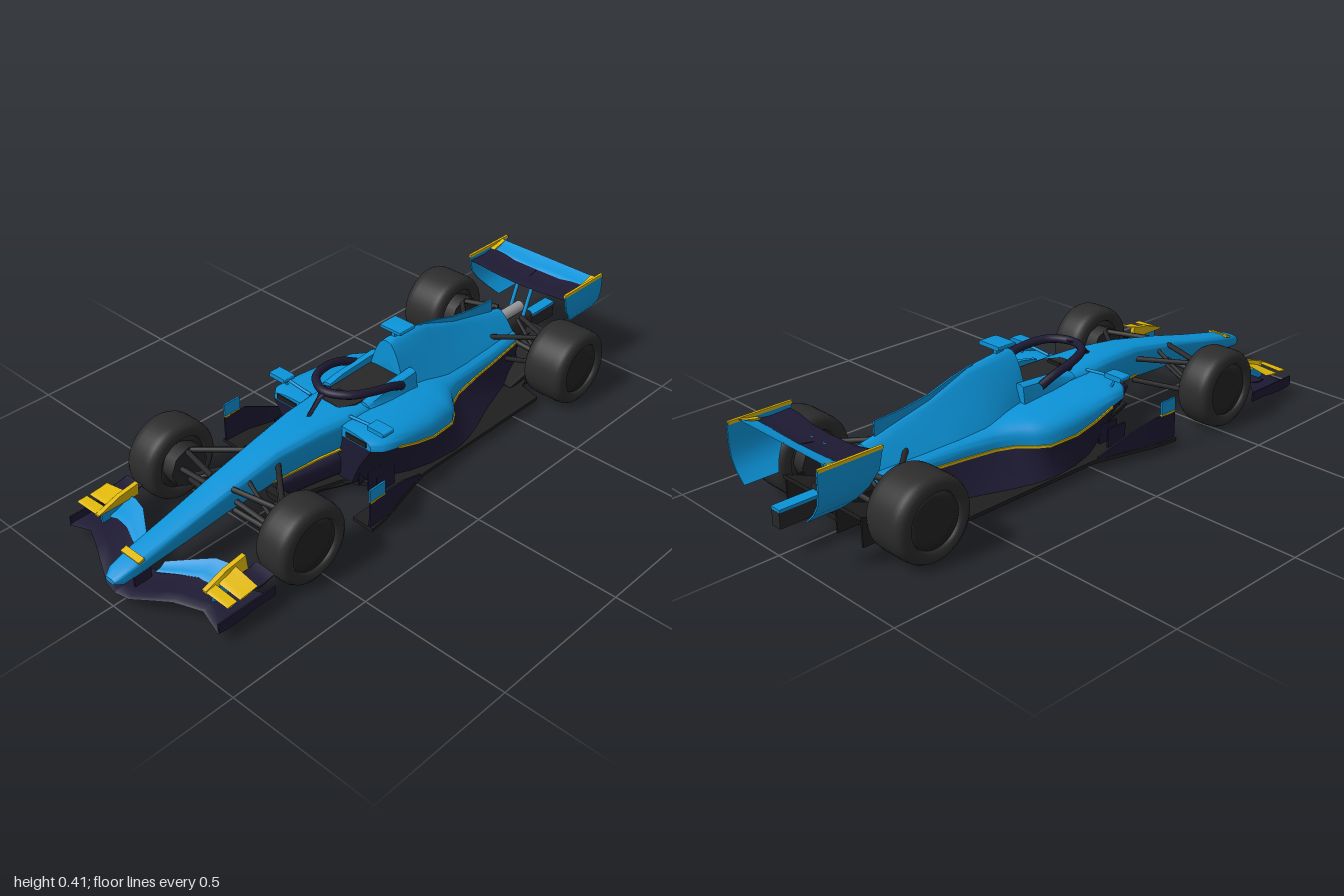
import * as THREE from 'three';
import { toCreasedNormals } from 'three/addons/utils/BufferGeometryUtils.js';

const mat = (name, color) => Object.assign(new THREE.MeshStandardMaterial({ color }), { name });

// Skin closed cross-sections, with flat end caps
function loft(rows) {
  const n = rows[0].length, last = rows.length - 1, pos = rows.flat(2), idx = [];
  for (let j = 0; j < last; j++) for (let i = 0; i < n; i++) {
    const k = (i + 1) % n, a = j * n + i, b = a + n, c = j * n + k, d = c + n;
    idx.push(a, b, c, c, b, d);
  }
  for (const [j, flip] of [[0, false], [last, true]]) {
    const c = pos.length / 3;
    for (let q = 0; q < 3; q++) pos.push(rows[j].reduce((s, p) => s + p[q], 0) / n);
    for (let i = 0; i < n; i++) {
      const a = j * n + i, b = j * n + (i + 1) % n;
      if (flip) idx.push(c, b, a); else idx.push(c, a, b);
    }
  }
  const g = new THREE.BufferGeometry();
  g.setAttribute('position', new THREE.Float32BufferAttribute(pos, 3));
  g.setIndex(idx);
  return toCreasedNormals(g, 0.7);
}
const flipX = rows => rows.map(r => r.map(([x, y, z]) => [-x, y, z]).reverse());
const pow = (v, n) => Math.sign(v) * Math.abs(v) ** (2 / n);

// Full rounded section: z, bottom, top, half widths at bottom and top, squareness
function ring([z, y0, y1, wb, wt, n = 4]) {
  return Array.from({ length: 32 }, (_, i) => {
    const a = i / 32 * Math.PI * 2, f = (pow(Math.sin(a), n) + 1) / 2;
    return [pow(Math.cos(a), n) * (wb + (wt - wb) * f), y0 + (y1 - y0) * f, z];
  });
}
// Domed section with a flat underside
function dome([z, y0, y1, wb, wt, n]) {
  return Array.from({ length: 25 }, (_, i) => {
    const a = i / 24 * Math.PI, f = pow(Math.sin(a), n);
    return [pow(Math.cos(a), n) * (wb + (wt - wb) * f), y0 + (y1 - y0) * f, z];
  });
}
// Upright rectangle across the body, from x0 to x1 and y0 to y1
const slab = (x0, x1, y0, y1, z) => [[x0, y0, z], [x1, y0, z], [x1, y1, z], [x0, y1, z]];
// Aerofoil section: x, leading z and y, trailing z and y; negative camber sags
function foil([x, z0, y0, z1, y1], t, camber) {
  const at = (s, side) => [x, y0 + (y1 - y0) * s + camber * Math.sin(Math.PI * s)
    + side * t * Math.sin(Math.PI * Math.sqrt(s)), z0 + (z1 - z0) * s];
  return [...[0, 0.08, 0.3, 0.6, 0.85, 1].map(s => at(s, 1)), ...[0.85, 0.6, 0.3, 0.08].map(s => at(s, -1))];
}

export function createModel() {
  const car = new THREE.Group();
  car.name = 'racingCar';
  const blue = mat('skyBlue', 0x0b93d8), navy = mat('navy', 0x1d1a33), yellow = mat('yellow', 0xe0b808);
  const tyre = mat('tyreRubber', 0x2c2c2c), rim = mat('rimGrey', 0x232325), carbon = mat('carbon', 0x272729);
  const black = mat('floorBlack', 0x1f1f1f), steel = mat('steel', 0x9a9a9c);

  const add = (name, geo, m, x = 0, y = 0, z = 0) => {
    const mesh = new THREE.Mesh(geo, m);
    mesh.name = name;
    mesh.position.set(x, y, z);
    car.add(mesh);
    return mesh;
  };
  const pair = (name, rows, m) => { add(name + 'Left', loft(rows), m); add(name + 'Right', loft(flipX(rows)), m); };
  const wing = (name, m, stations, t = 0.004, camber = -0.006) => pair(name, stations.map(s => foil(s, t, camber)), m);
  const box = (name, m, w, h, d, x, y, z) => add(name, new THREE.BoxGeometry(w, h, d), m, x, y, z);
  const boxes = (name, m, w, h, d, x, y, z) => { for (const s of [1, -1]) box(name, m, w, h, d, s * x, y, z); };
  const rod = (name, m, a, b, r) => {
    for (const s of [1, -1]) {
      const p = new THREE.Vector3(s * a[0], a[1], a[2]), q = new THREE.Vector3(s * b[0], b[1], b[2]);
      const d = q.clone().sub(p);
      const mesh = add(name, new THREE.CylinderGeometry(r, r, d.length(), 8), m);
      mesh.position.copy(p).add(q).multiplyScalar(0.5);
      mesh.quaternion.setFromUnitVectors(new THREE.Vector3(0, 1, 0), d.normalize());
    }
  };

  // Nose and cockpit tub
  add('noseAndTub', loft([
    [1.0, 0.088, 0.105, 0.02, 0.02, 3], [0.975, 0.08, 0.121, 0.033, 0.033], [0.9, 0.085, 0.141, 0.035, 0.041],
    [0.75, 0.095, 0.172, 0.037, 0.048], [0.6, 0.11, 0.207, 0.04, 0.054], [0.4, 0.12, 0.247, 0.048, 0.064],
    [0.25, 0.13, 0.259, 0.068, 0.085], [0.12, 0.13, 0.258, 0.095, 0.1], [-0.16, 0.13, 0.255, 0.11, 0.1],
  ].map(ring)), blue);
  box('noseStripe', yellow, 0.08, 0.008, 0.022, 0, 0.136, 0.915).rotation.x = 0.25;

  // Cockpit opening, headrest sides and steering wheel
  add('cockpitOpening', loft([[0.13, 0.25, 0.26, 0.035, 0.035], [0.08, 0.25, 0.262, 0.062, 0.062],
    [-0.13, 0.25, 0.262, 0.07, 0.07]].map(ring)), carbon);
  pair('headrestSide', [[0.06, 0.25, 0.262], [0, 0.24, 0.274], [-0.16, 0.22, 0.285]].map(([z, y0, y1]) =>
    [[0.066, y0, z], [0.104, y0, z], [0.096, y1 - 0.006, z], [0.084, y1, z], [0.068, y1, z]]), blue);
  box('steeringWheel', black, 0.05, 0.014, 0.01, 0, 0.264, 0.07);

  // Engine cover, fin and camera
  add('engineCover', loft([
    [-0.125, 0.21, 0.368, 0.078, 0.046, 2.6], [-0.15, 0.17, 0.374, 0.1, 0.045, 2.5], [-0.3, 0.14, 0.357, 0.135, 0.03, 2.2],
    [-0.45, 0.14, 0.3, 0.122, 0.028, 2], [-0.6, 0.14, 0.263, 0.1, 0.035, 2.1], [-0.7, 0.14, 0.238, 0.085, 0.04, 2.2],
  ].map(dome)), blue);
  pair('engineFin', [[-0.28, 0.362], [-0.36, 0.345], [-0.45, 0.317], [-0.55, 0.302], [-0.655, 0.295]].map(([z, y]) =>
    slab(0, 0.003, 0.22, y, z)), blue);
  box('cameraStem', blue, 0.012, 0.035, 0.03, 0, 0.38, -0.17);
  add('cameraBar', loft([[-0.14, 0.396, 0.406, 0.042, 0.042, 9], [-0.15, 0.394, 0.408, 0.043, 0.043, 9],
    [-0.21, 0.394, 0.408, 0.043, 0.043, 9]].map(ring)), blue);

  // Sidepods over an undercut lower body, parted by a line that climbs to the inlet
  const pods = [ // z, parting height, top, half width, floor half width
    [0.17, 0.2, 0.236, 0.21, 0.13], [0.14, 0.197, 0.24, 0.236, 0.145], [0.08, 0.187, 0.24, 0.243, 0.18],
    [0, 0.163, 0.238, 0.246, 0.22], [-0.08, 0.145, 0.234, 0.246, 0.243], [-0.18, 0.14, 0.225, 0.236, 0.253],
    [-0.22, 0.14, 0.22, 0.21, 0.25], [-0.26, 0.14, 0.213, 0.168, 0.243], [-0.32, 0.14, 0.205, 0.142, 0.225],
    [-0.42, 0.14, 0.196, 0.124, 0.185], [-0.54, 0.142, 0.188, 0.11, 0.145], [-0.7, 0.145, 0.18, 0.088, 0.1]];
  add('sidepods', loft(pods.map(([z, y0, y1, w]) => dome([z, y0, y1, w, w, 3.5]))), blue);
  add('lowerBody', loft(pods.map(([z, y, , w, b]) => {
    const m = w * 0.5 + b * 0.5 - 0.008, h = (y + 0.04) / 2;
    return [[w, y, z], [-w, y, z], [-m, h, z], [-b, 0.04, z], [b, 0.04, z], [m, h, z]];
  })), navy);
  pair('bodyLine', pods.slice(2).map(([z, y, , w]) => slab(w - 0.01, w + 0.004, y - 0.004, y + 0.004, z)), yellow);
  boxes('sidepodInlet', black, 0.085, 0.018, 0.006, 0.15, 0.215, 0.171);
  add('lowerTub', loft([[0.39, 0.085, 0.105, 0.03, 0.03], [0.34, 0.04, 0.122, 0.045, 0.05],
    [0.1, 0.035, 0.135, 0.1, 0.1]].map(ring)), navy);
  pair('tubLine', [[0.42, 0.138, 0.0485], [0.25, 0.142, 0.07], [0.15, 0.145, 0.091]].map(([z, y, w]) =>
    slab(w - 0.03, w, y - 0.003, y + 0.003, z)), yellow);

  // Floor with flared front tongues, plank and edge fences
  const half = [[0.035, 0.38], [0.06, 0.3], [0.1, 0.18], [0.2, 0.12], [0.245, 0.15], [0.25, 0.29], [0.33, 0.29],
    [0.322, 0.22], [0.275, 0.04], [0.26, -0.02], [0.26, -0.6], [0.18, -0.62], [0.16, -0.68]];
  const outline = [...half, ...half.map(([x, z]) => [-x, z]).reverse()].map(([x, z]) => new THREE.Vector2(x, -z));
  const floor = new THREE.ExtrudeGeometry(new THREE.Shape(outline), { depth: 0.012, bevelEnabled: false });
  add('floor', floor.rotateX(-Math.PI / 2), black, 0, 0.03, 0);
  add('plank', loft([[0.38, 0.02, 0.032, 0.03, 0.03], [0.3, 0.015, 0.032, 0.05, 0.055], [0.14, 0.015, 0.032, 0.12, 0.13],
    [-0.6, 0.015, 0.032, 0.12, 0.13], [-0.8, 0.03, 0.05, 0.05, 0.05]].map(ring)), black);
  pair('floorFence', [[0.29, 0.318, 0.135], [0.2, 0.314, 0.132], [0.1, 0.285, 0.095], [0, 0.262, 0.05]].map(([z, x, y]) =>
    slab(x - 0.003, x + 0.003, 0.035, y, z)), navy);
  boxes('floorFenceTop', blue, 0.006, 0.044, 0.065, 0.318, 0.158, 0.257);
  boxes('floorFenceLine', yellow, 0.008, 0.006, 0.065, 0.318, 0.134, 0.257);
  for (const x of [0.15, 0.19, 0.225]) boxes('frontStrake', navy, 0.005, 0.07, 0.08, x, 0.07, 0.12);

  // Diffuser, gearbox, exhaust and rear structure
  add('diffuser', loft([[-0.58, 0.03, 0.045, 0.16, 0.16], [-0.7, 0.06, 0.08, 0.17, 0.17],
    [-0.85, 0.12, 0.135, 0.18, 0.18]].map(r => ring([...r, 8]))), black);
  for (const x of [0.06, 0.175]) boxes('diffuserStrake', black, 0.006, 0.085, 0.2, x, 0.078, -0.745);
  add('gearbox', loft([[-0.6, 0.05, 0.2, 0.07, 0.06], [-0.86, 0.08, 0.17, 0.03, 0.03]].map(ring)), carbon);
  box('rearStructure', carbon, 0.036, 0.05, 0.16, 0, 0.115, -0.92);
  box('rearStructureCover', blue, 0.04, 0.009, 0.15, 0, 0.145, -0.925);
  const pipe = add('exhaust', new THREE.CylinderGeometry(0.02, 0.02, 0.14, 20), steel, 0, 0.2, -0.75);
  pipe.rotation.x = Math.PI / 2;

  // Rear wing
  wing('rearMainPlane', navy, [[0, -0.795, 0.298, -0.91, 0.31], [0.1, -0.795, 0.302, -0.91, 0.312],
    [0.16, -0.79, 0.312, -0.91, 0.318], [0.207, -0.79, 0.314, -0.91, 0.32]], 0.005, -0.008);
  wing('rearFlap', blue, [[0, -0.905, 0.308, -0.965, 0.335], [0.207, -0.905, 0.314, -0.965, 0.335]], 0.004, -0.004);
  wing('rearWingCorner', yellow, [[0.187, -0.9, 0.322, -0.962, 0.338], [0.209, -0.9, 0.322, -0.962, 0.338]], 0.003, -0.003);
  pair('rearEndplate', [[0.334, 0.21, -0.785], [0.27, 0.21, -0.8], [0.23, 0.203, -0.83], [0.195, 0.182, -0.86],
    [0.165, 0.15, -0.885]].map(([y, x, z]) => [[x, y, z], [x, y, -1], [x - 0.006, y, -1], [x - 0.006, y, z]]), blue);
  boxes('endplateTop', yellow, 0.009, 0.01, 0.212, 0.207, 0.333, -0.891);
  rod('rearWingPylon', blue, [0.03, 0.17, -0.8], [0.03, 0.3, -0.85], 0.007);

  // Front wing with raised, slotted outer tips
  wing('frontMainPlane', navy, [[0, 0.99, 0.045, 0.86, 0.055], [0.05, 0.98, 0.045, 0.85, 0.06], [0.11, 0.95, 0.058, 0.81, 0.08],
    [0.17, 0.92, 0.07, 0.79, 0.088], [0.25, 0.88, 0.06, 0.76, 0.075], [0.33, 0.9, 0.046, 0.7, 0.055]], 0.008);
  wing('frontFlap', blue, [[0.036, 0.87, 0.066, 0.835, 0.085], [0.1, 0.84, 0.077, 0.79, 0.102],
    [0.16, 0.815, 0.086, 0.75, 0.118], [0.21, 0.81, 0.084, 0.738, 0.12], [0.247, 0.815, 0.075, 0.735, 0.112]]);
  wing('frontTipFore', yellow, [[0.245, 0.86, 0.112, 0.825, 0.12], [0.332, 0.86, 0.11, 0.825, 0.114]], 0.003, -0.001);
  wing('frontTipAft', yellow, [[0.245, 0.815, 0.116, 0.75, 0.138], [0.332, 0.815, 0.111, 0.75, 0.12]], 0.003, -0.002);
  pair('frontTipFin', [[0.86, 0.115], [0.78, 0.142], [0.71, 0.152]].map(([z, y]) =>
    [[0.232, 0.108, z], [0.25, 0.108, z], [0.243, y, z], [0.227, y, z]]), yellow);
  wing('frontOuterSlat', navy, [[0.25, 0.75, 0.105, 0.68, 0.116], [0.325, 0.75, 0.105, 0.68, 0.114]], 0.003);
  boxes('frontFlapEnd', blue, 0.008, 0.065, 0.1, 0.246, 0.078, 0.79);
  boxes('frontEndplate', navy, 0.005, 0.032, 0.21, 0.329, 0.06, 0.79);
  boxes('frontWingMount', navy, 0.006, 0.045, 0.06, 0.028, 0.075, 0.91);

  // Halo
  const hoop = new THREE.CatmullRomCurve3([[-0.098, 0.262, -0.09], [-0.106, 0.29, -0.03], [-0.103, 0.306, 0.04],
    [-0.07, 0.315, 0.12], [0, 0.315, 0.155], [0.07, 0.315, 0.12], [0.103, 0.306, 0.04], [0.106, 0.29, -0.03],
    [0.098, 0.262, -0.09]].map(p => new THREE.Vector3(...p)));
  add('haloHoop', new THREE.TubeGeometry(hoop, 48, 0.014, 10), navy);
  pair('haloPillar', [[0.322, 0.028, 0.145], [0.3, 0.01, 0.175], [0.25, 0.007, 0.23]].map(([y, w, z]) =>
    [[0, y, z + 0.012], [w, y, z], [0, y, z - 0.015]]), navy);

  // Mirrors
  for (const s of [1, -1]) add('mirror', loft([[0.155, 0.258, 0.273, 0.033, 0.033, 7], [0.145, 0.257, 0.274, 0.035, 0.035, 7],
    [0.11, 0.257, 0.274, 0.035, 0.035, 7]].map(ring)), blue, s * 0.212, 0, 0);
  rod('mirrorArm', blue, [0.085, 0.25, 0.13], [0.19, 0.26, 0.13], 0.005);
  rod('mirrorPost', blue, [0.2, 0.23, 0.12], [0.21, 0.26, 0.13], 0.004);

  // Wheels and suspension
  for (const [end, z, xc, h] of [['front', 0.537, 0.284, 0.061], ['rear', -0.722, 0.27, 0.078]]) {
    const edge = [[0.086, 0.012], [0.09, 0], [0.112, 0], [0.124, 0.008], [0.13, 0.02], [0.132, 0.038]];
    const profile = [...edge.map(([r, d]) => [r, d - h]), ...edge.map(([r, d]) => [r, h - d]).reverse()];
    const disc = [[0, 0.018], [0.06, 0.024], [0.088, 0.012]];
    const dish = [...disc.map(([r, d]) => [r, d - h]), ...disc.map(([r, d]) => [r, h - d]).reverse()];
    for (const s of [1, -1]) for (const [part, pts, m] of [['Tyre', profile, tyre], ['Rim', dish, rim]]) {
      const geo = new THREE.LatheGeometry(pts.map(p => new THREE.Vector2(...p)), 48).rotateZ(-s * Math.PI / 2);
      add(end + part, geo, m, s * xc, 0.134, z);
    }
    rod(end + 'Hub', carbon, [xc - h - 0.025, 0.134, z], [xc, 0.134, z], 0.07);
    const x = xc - h - 0.01, dir = Math.sign(z), inner = end === 'front' ? 0.045 : 0.05;
    for (const [dy, iy] of [[0.19, 0.2], [0.085, 0.125]]) {
      rod(end + 'Wishbone', carbon, [inner, iy, z + 0.04 * dir], [x, dy, z], 0.009);
      rod(end + 'Wishbone', carbon, [inner, iy, z - 0.14 * dir], [x, dy, z], 0.009);
    }
    rod(end + 'Pushrod', carbon, [inner, 0.2, z - 0.02], [x, 0.09, z], 0.007);
    rod(end + 'Trackrod', carbon, [inner, 0.15, z + 0.03], [x, 0.14, z + 0.03], 0.009);
  }
  return car;
}
